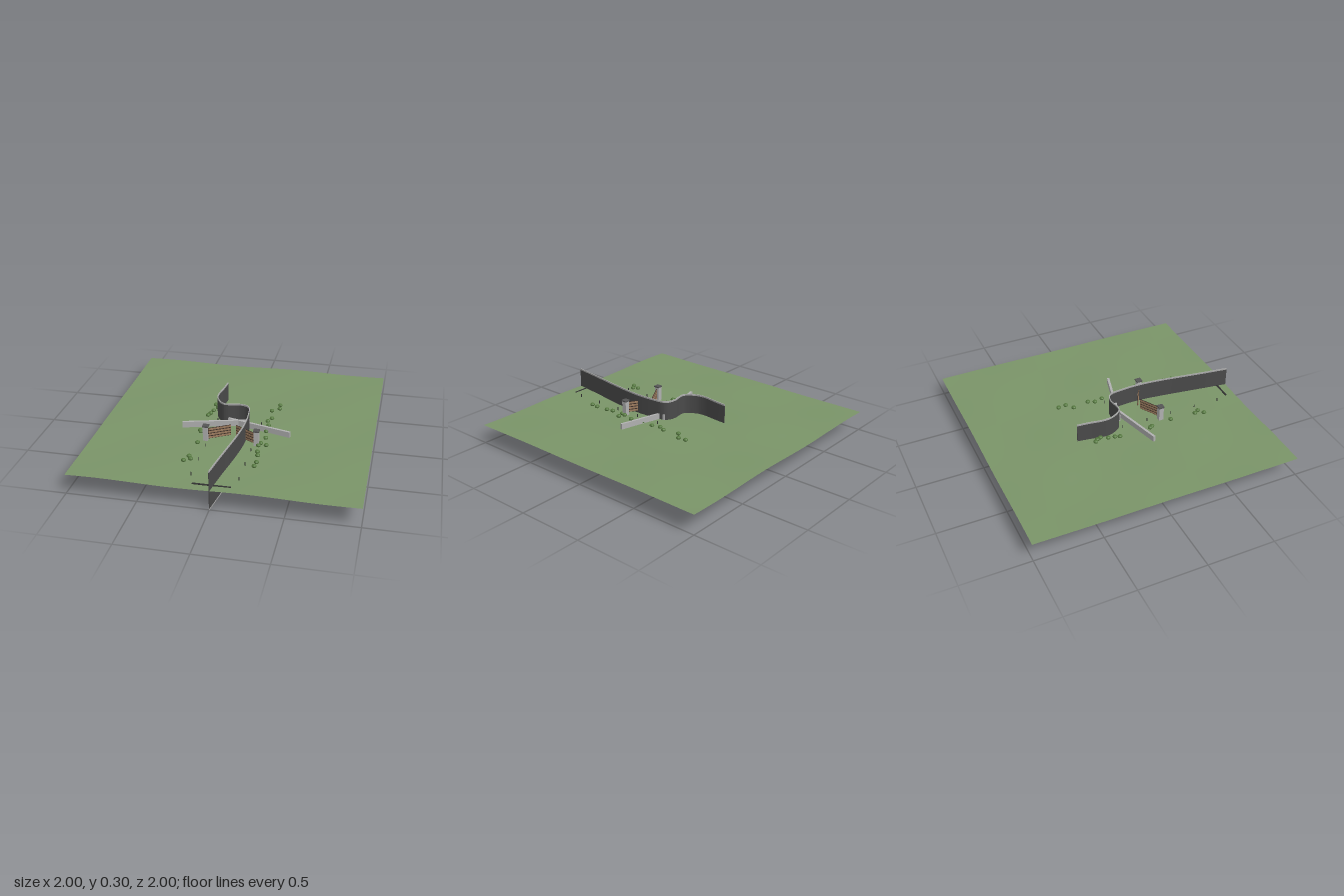
import * as THREE from 'three';

const GROUND = 0.145;
const paint = (color, extra = {}) => {
  const m = new THREE.MeshStandardMaterial({ color });
  return Object.assign(m, extra);
};
const grass = paint(0x7a9468, { side: THREE.DoubleSide });
const asphalt = paint(0x4a4a4a);
const kerbGrey = paint(0xaaaaaa);
const stone = paint(0xb0b0b0);
const capGrey = paint(0x555555);
const wood = paint(0x9b7b5e);
const darkWood = paint(0x3d3029);
const leaf = paint(0x55783f, { flatShading: true });
const dark = paint(0x333333);

function add(parent, name, geometry, material, x = 0, y = 0, z = 0) {
  const mesh = new THREE.Mesh(geometry, material);
  mesh.name = name;
  mesh.position.set(x, y, z);
  parent.add(mesh);
  return mesh;
}
const box = (w, h, d) => new THREE.BoxGeometry(w, h, d);

// Upright band of a given thickness following a curve on plan
function band(curve, thickness, height) {
  const left = [], right = [];
  const n = 80;
  for (let i = 0; i <= n; i++) {
    const p = curve.getPoint(i / n), t = curve.getTangent(i / n);
    const side = new THREE.Vector2(-t.y, t.x).multiplyScalar(thickness / 2);
    left.push(p.clone().add(side));
    right.push(p.clone().sub(side));
  }
  const shape = new THREE.Shape([...left, ...right.reverse()]);
  return new THREE.ExtrudeGeometry(shape, { depth: height, bevelEnabled: false }).rotateX(-Math.PI / 2);
}

export function createModel() {
  const model = new THREE.Group();
  model.name = 'gatedEntrance';

  // Gently rolling lawn
  const lawn = new THREE.PlaneGeometry(2, 2, 48, 48).rotateX(-Math.PI / 2);
  const pos = lawn.attributes.position;
  for (let i = 0; i < pos.count; i++) {
    pos.setY(i, 0.005 * Math.sin(6 * pos.getX(i)) * Math.cos(6 * pos.getZ(i)));
  }
  lawn.computeVertexNormals();
  add(model, 'lawn', lawn, grass, 0, GROUND, 0);

  // Winding upright drive band with pale edges
  const path = new THREE.SplineCurve([
    [0, 1], [0.03, 0.79], [0.075, 0.5], [0.095, 0.3], [0.09, 0.14], [0.07, 0.04], [0, 0.008],
    [-0.12, 0.02], [-0.18, -0.05], [-0.195, -0.13], [-0.18, -0.24], [-0.17, -0.335],
  ].map(([x, z]) => new THREE.Vector2(x, -z)));
  add(model, 'drive', band(path, 0.005, 0.274), asphalt, 0, 0.01, 0);
  add(model, 'driveLowerEdge', band(path, 0.006, 0.01), kerbGrey);
  add(model, 'driveUpperEdge', band(path, 0.006, 0.012), kerbGrey, 0, 0.284, 0);

  for (const s of [-1, 1]) {
    const side = s > 0 ? 'left' : 'right';

    // Low boundary wall
    const wall = add(model, side + 'Wall', box(0.5, 0.045, 0.018), stone, s * 0.16, GROUND + 0.0225, 0.107);
    wall.rotation.y = -s * 0.262;

    // Gate pillar and cap
    add(model, side + 'Pillar', box(0.036, 0.11, 0.036), stone, s * 0.185, GROUND + 0.055, 0.33);
    add(model, side + 'PillarCap', box(0.044, 0.01, 0.044), capGrey, s * 0.185, GROUND + 0.115, 0.33);

    // Slatted gate leaf standing ajar
    const gate = new THREE.Group();
    gate.name = side + 'Gate';
    gate.position.set(s * 0.0935, 0.201, 0.287);
    gate.rotation.y = -s * 0.53;
    add(gate, 'gateBacking', box(0.17, 0.084, 0.004), darkWood);
    for (let i = 0; i < 4; i++) {
      add(gate, 'gateBoard', box(0.168, 0.014, 0.008), wood, 0, -0.032 + i * 0.0213, 0);
    }
    model.add(gate);

    // Path lights
    for (let i = 0; i < 5; i++) {
      add(model, side + 'PathLight', new THREE.CylinderGeometry(0.003, 0.003, 0.026, 8), dark,
        s * 0.165, GROUND + 0.013, 0.03 + i * 0.2);
    }
  }

  // Threshold bar
  add(model, 'threshold', box(0.264, 0.006, 0.012), dark, 0, GROUND + 0.002, 0.93);

  // Shrubs either side of the entrance
  const shrubs = [
    [-0.24, -0.22], [-0.22, -0.2], [-0.21, -0.17], [-0.235, -0.12], [-0.245, -0.07], [-0.257, -0.035],
    [-0.23, 0.135], [-0.257, 0.21], [-0.246, 0.23], [-0.23, 0.395], [-0.24, 0.595], [-0.22, 0.63],
    [-0.262, 0.66], [0.25, -0.31], [0.256, -0.25], [0.203, -0.205], [0.225, -0.08], [0.203, -0.03],
    [0.22, 0.035], [0.22, 0.13], [0.235, 0.23], [0.214, 0.315], [0.203, 0.35], [0.257, 0.335],
    [0.214, 0.44], [0.225, 0.49], [0.235, 0.585], [0.23, 0.64],
  ];
  const shrubShape = new THREE.IcosahedronGeometry(0.018, 1).scale(1, 0.75, 1);
  shrubs.forEach(([x, z], i) => {
    add(model, 'shrub', shrubShape, leaf, x, GROUND + 0.011, z).rotation.y = i;
  });

  return model;
}
